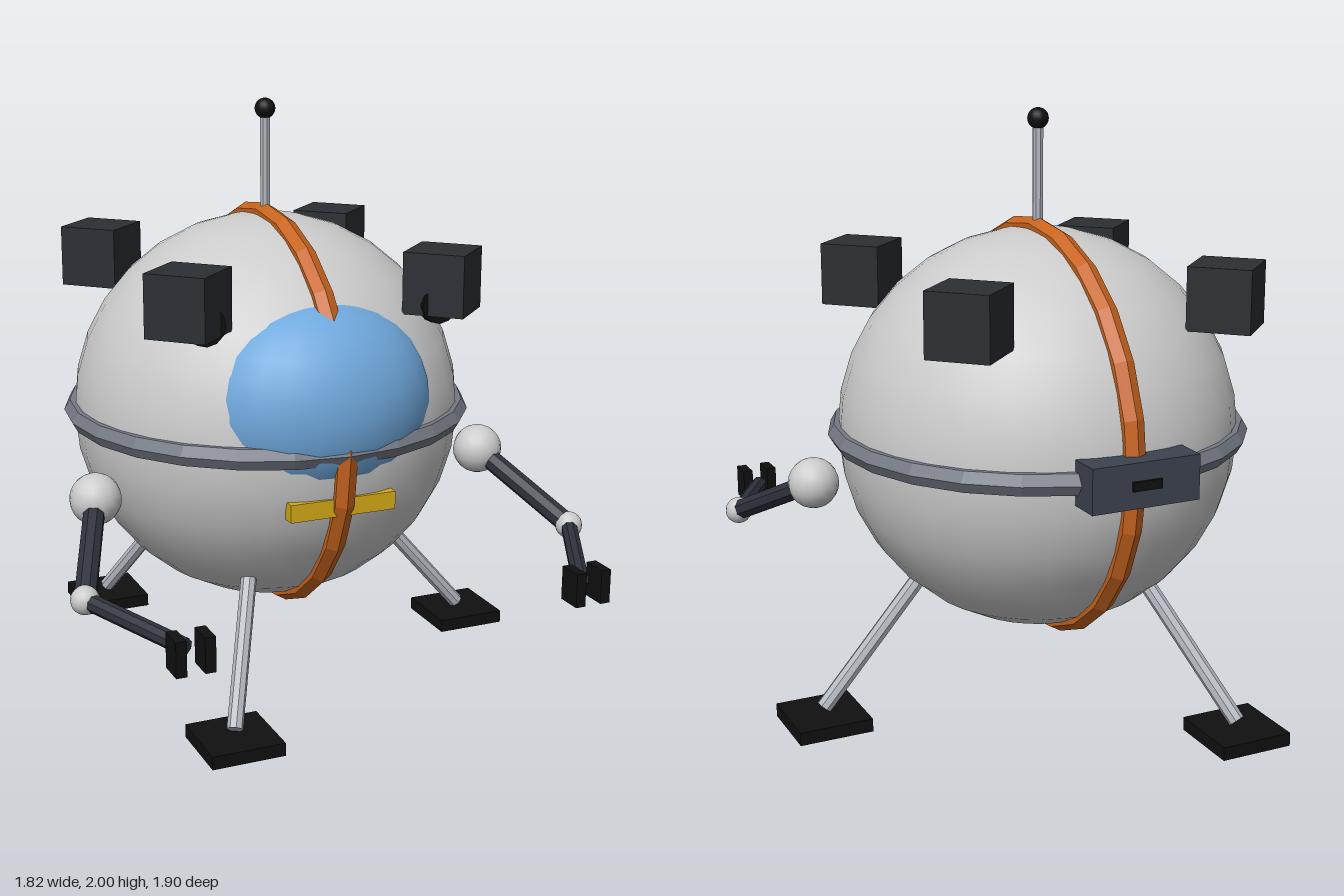
import * as THREE from 'three';

const mat = (color, flatShading = false) => new THREE.MeshStandardMaterial({ color, flatShading });
const V = (x, y, z) => new THREE.Vector3(x, y, z);

const hullMat = mat(0xcccccc);
const metalMat = mat(0xb4b8c0, true);
const ringMat = mat(0x747984, true);
const orangeMat = mat(0xc8641e, true);
const glassMat = mat(0x6fa8dc);
const yellowMat = mat(0xd4aa17);
const darkMat = mat(0x2b2e33);
const slateMat = mat(0x3c4250);
const armMat = mat(0x2e323c, true);
const blackMat = mat(0x101010);

const CY = 0.94, CZ = -0.14, R = 0.67; // hull centre and radius

export function createModel() {
  const group = new THREE.Group();

  const add = (name, geometry, material, x = 0, y = 0, z = 0) => {
    const m = new THREE.Mesh(geometry, material);
    m.name = name;
    m.position.set(x, y, z);
    group.add(m);
    return m;
  };
  const box = (name, w, h, d, material, x, y, z) =>
    add(name, new THREE.BoxGeometry(w, h, d), material, x, y, z);
  const ball = (name, r, material, x, y, z, ws = 16, hs = 12) =>
    add(name, new THREE.SphereGeometry(r, ws, hs), material, x, y, z);
  // Cylinder between two points
  const rod = (name, a, b, r, material) => {
    const dir = b.clone().sub(a);
    const m = add(name, new THREE.CylinderGeometry(r, r, dir.length(), 8), material);
    m.position.copy(a).add(b).multiplyScalar(0.5);
    m.quaternion.setFromUnitVectors(V(0, 1, 0), dir.normalize());
    return m;
  };

  // Hull with bulging window
  ball('hull', R, hullMat, 0, CY, CZ, 32, 16);
  ball('window', 1, glassMat, 0, 1.053, 0.26, 24, 16).scale.set(0.407, 0.351, 0.315);

  // Equator ring and upright band
  const hoop = new THREE.TorusGeometry(0.665, 0.04, 6, 24);
  add('equatorRing', hoop, ringMat, 0, CY, CZ).rotation.x = Math.PI / 2;
  add('uprightBand', hoop, orangeMat, 0, CY, CZ).rotation.y = Math.PI / 2;

  // Front plate and rear hatch
  box('frontPlate', 0.37, 0.06, 0.045, yellowMat, 0, 0.755, 0.491);
  box('rearHatch', 0.37, 0.145, 0.11, slateMat, 0, CY, -0.832);
  box('rearSlot', 0.1, 0.03, 0.02, blackMat, 0, CY, -0.886);

  // Antenna
  rod('antennaMast', V(0, 1.58, CZ), V(0, 1.96, CZ), 0.018, metalMat);
  ball('antennaTip', 0.035, blackMat, 0, 1.965, CZ);

  // Four thruster pods set diagonally
  for (const sx of [-1, 1]) {
    for (const sz of [-1, 1]) {
      box('thrusterPod', 0.208, 0.208, 0.208, darkMat, sx * 0.448, 1.426, CZ + sz * 0.45)
        .rotation.y = Math.PI / 4;
    }
  }

  // Three legs with square feet
  for (let i = 0; i < 3; i++) {
    const a = (i * Math.PI * 2) / 3;
    const at = (r, y) => V(r * Math.cos(a), y, CZ + r * Math.sin(a));
    rod('leg', at(0.43, 0.47), at(0.785, 0.06), 0.027, metalMat);
    const f = at(0.785, 0.0225);
    box('foot', 0.25, 0.045, 0.25, blackMat, f.x, f.y, f.z);
  }

  // Mirrored arms with two-finger grippers, and headlights
  for (const s of [-1, 1]) {
    const shoulder = V(s * 0.71, 0.755, 0.12);
    const elbow = V(s * 0.865, 0.567, 0.495);
    const wrist = V(s * 0.675, 0.53, 0.87);
    ball('shoulder', 0.086, hullMat, ...shoulder.toArray());
    rod('upperArm', shoulder, elbow, 0.036, armMat);
    ball('elbow', 0.046, hullMat, ...elbow.toArray());
    rod('forearm', elbow, wrist, 0.028, armMat);
    for (const side of [-1, 1]) {
      box('gripperFinger', 0.034, 0.112, 0.088, blackMat, s * 0.672 + side * 0.045, 0.53, 0.908);
    }
    add('headlight', new THREE.CylinderGeometry(0.065, 0.065, 0.045, 12), blackMat, s * 0.41, 1.357, 0.35)
      .rotation.x = Math.PI / 2;
  }

  return group;
}
